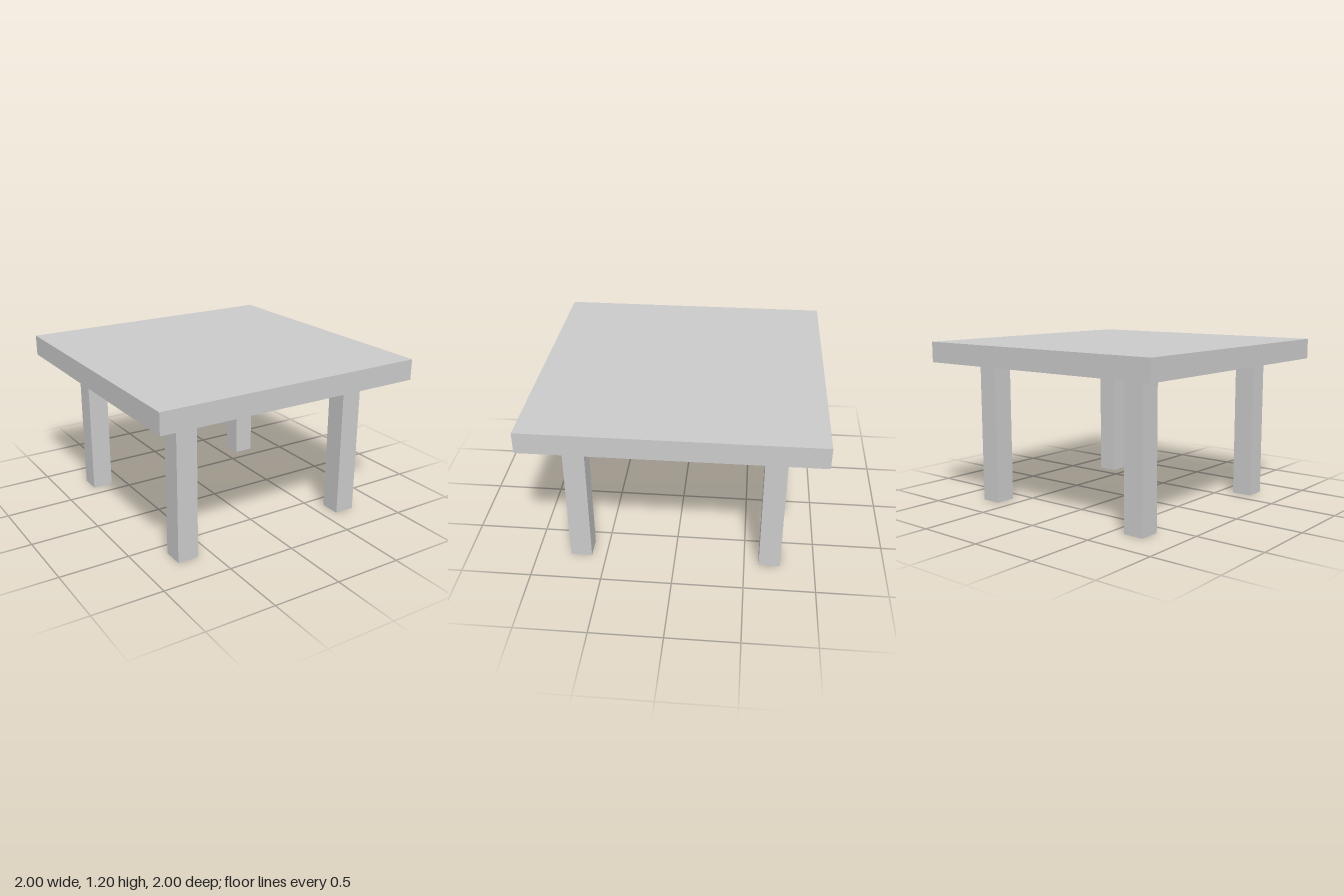
import * as THREE from 'three';

export function createModel() {
  const model = new THREE.Group();
  model.name = 'table';
  const material = new THREE.MeshStandardMaterial({ color: 0xcccccc });

  const topY = 1.198, topThickness = 0.15;
  const legHeight = topY - topThickness, legWidth = 0.152, legOffset = 0.681;

  // Square slab top
  const tabletop = new THREE.Mesh(new THREE.BoxGeometry(2, topThickness, 2), material);
  tabletop.name = 'tabletop';
  tabletop.position.y = topY - topThickness / 2;
  model.add(tabletop);

  // Four square legs, set in from the corners
  const legGeometry = new THREE.BoxGeometry(legWidth, legHeight, legWidth);
  for (const [depth, sz] of [['front', 1], ['back', -1]]) {
    for (const [side, sx] of [['Left', 1], ['Right', -1]]) {
      const leg = new THREE.Mesh(legGeometry, material);
      leg.name = `${depth}${side}Leg`;
      leg.position.set(sx * legOffset, legHeight / 2, sz * legOffset);
      model.add(leg);
    }
  }

  return model;
}
